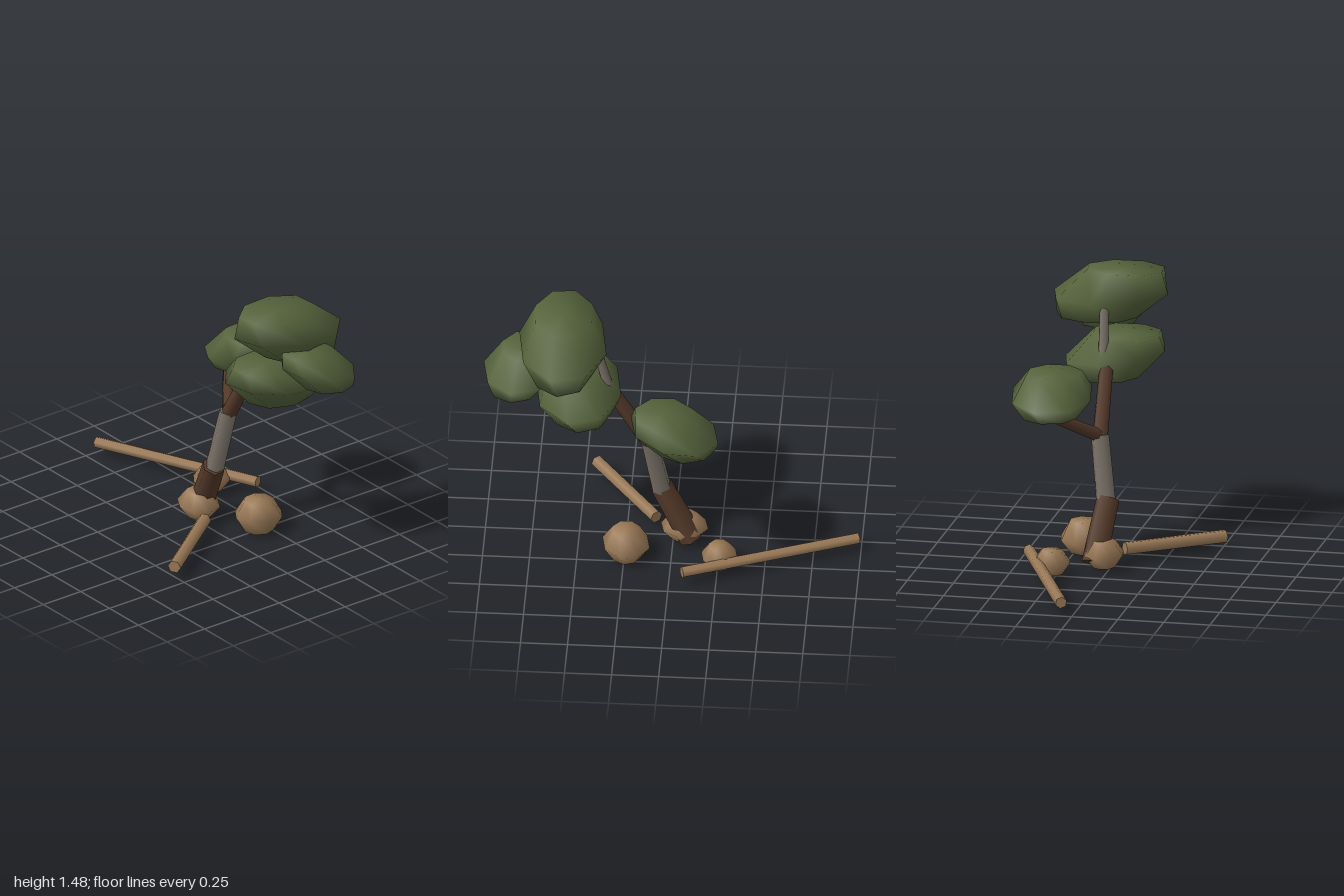
import * as THREE from 'three';

const mat = (name, color) => Object.assign(new THREE.MeshStandardMaterial({ color }), { name });

export function createModel() {
  const group = new THREE.Group();
  group.name = 'leaningTree';
  const foliage = mat('foliageGreen', 0x56633c);
  const bark = mat('darkBark', 0x553a2a);
  const paleBark = mat('greyBark', 0x7a7268);
  const tan = mat('tanStone', 0x9c7b58);

  const add = (name, geometry, material) => {
    const mesh = new THREE.Mesh(geometry, material);
    mesh.name = name;
    group.add(mesh);
    return mesh;
  };

  // Tapered faceted limb between two points
  const limb = (name, from, to, r0, r1, material, sides = 6) => {
    const a = new THREE.Vector3(...from), b = new THREE.Vector3(...to);
    const dir = b.clone().sub(a);
    const mesh = add(name, new THREE.CylinderGeometry(r1, r0, dir.length(), sides), material);
    mesh.position.copy(a).add(b).multiplyScalar(0.5);
    mesh.quaternion.setFromUnitVectors(new THREE.Vector3(0, 1, 0), dir.normalize());
  };

  // Flattened low-poly lump: three rings and two caps. Its top slides one way
  // and its base the other (shift); the widest ring is tilted (tilt).
  const lump = (name, c, r, material, { shift = [0, 0], tilt = [0, 0], cap = 0.67, turn = 0.2 } = {}) => {
    const n = 8, pos = [], idx = [];
    const rings = [[1, 0], [1, cap], [0, 1], [-1, cap], [-1, 0]];
    rings.forEach(([k, s]) => {
      for (let i = 0; i < n; i++) {
        const t = (i / n) * Math.PI * 2 + turn + k * 0.12;
        const x = Math.cos(t), z = Math.sin(t);
        const lean = k === 0 ? tilt[0] * x + tilt[1] * z : 0;
        pos.push(c[0] + s * r[0] * x + k * shift[0], c[1] + k * r[1] + lean, c[2] + s * r[2] * z + k * shift[1]);
      }
    });
    for (let j = 0; j < rings.length - 1; j++) {
      for (let i = 0; i < n; i++) {
        const a = j * n + i, b = j * n + ((i + 1) % n);
        if (j > 0) idx.push(a, b, a + n);
        if (j < rings.length - 2) idx.push(b, b + n, a + n);
      }
    }
    const g = new THREE.BufferGeometry();
    g.setAttribute('position', new THREE.Float32BufferAttribute(pos, 3));
    g.setIndex(idx);
    g.computeVertexNormals();
    add(name, g, material);
  };

  // Trunk and branches
  limb('lowerTrunk', [-0.1, 0.04, -0.075], [0.065, 0.355, -0.035], 0.068, 0.062, bark);
  limb('upperTrunk', [0.06, 0.34, -0.045], [0.12, 0.685, -0.09], 0.053, 0.049, paleBark);
  limb('rightBranch', [0.12, 0.67, -0.09], [0.355, 1.07, -0.1], 0.042, 0.036, bark);
  limb('leftBranch', [0.12, 0.68, -0.09], [-0.18, 0.87, -0.32], 0.036, 0.028, bark);
  limb('topBranch', [0.34, 1.07, -0.12], [0.415, 1.37, -0.13], 0.027, 0.024, paleBark);

  // Leaf pads
  lump('topFoliage', [0.58, 1.345, -0.13], [0.24, 0.135, 0.325], foliage, { shift: [0, 0.08], tilt: [0.01, 0.02] });
  lump('sideFoliage', [0.805, 1.2, -0.16], [0.2, 0.1, 0.21], foliage, { shift: [-0.03, 0.05], tilt: [-0.01, 0.03] });
  lump('middleFoliage', [0.5, 1.03, -0.09], [0.235, 0.12, 0.285], foliage, { shift: [0.02, 0.06], tilt: [0, 0.04] });
  lump('leftFoliage', [-0.025, 0.935, -0.32], [0.24, 0.105, 0.225], foliage, { shift: [0.06, 0], tilt: [0.045, 0] });

  // Stones around the foot
  lump('centreStone', [-0.06, 0.087, -0.03], [0.13, 0.072, 0.11], tan, { cap: 0.55 });
  lump('leftStone', [0.24, 0.088, -0.2], [0.13, 0.087, 0.135], tan, { cap: 0.6, tilt: [0.01, 0.01] });
  lump('rightStone', [-0.26, 0.082, -0.27], [0.1, 0.066, 0.105], tan, { cap: 0.55 });

  // Fallen logs
  limb('longLog', [-0.985, 0.07, -0.06], [-0.07, 0.083, -0.435], 0.032, 0.032, tan);
  limb('shortLog', [0.095, 0.075, 0.05], [0.44, 0.075, 0.52], 0.036, 0.036, tan);

  return group;
}
